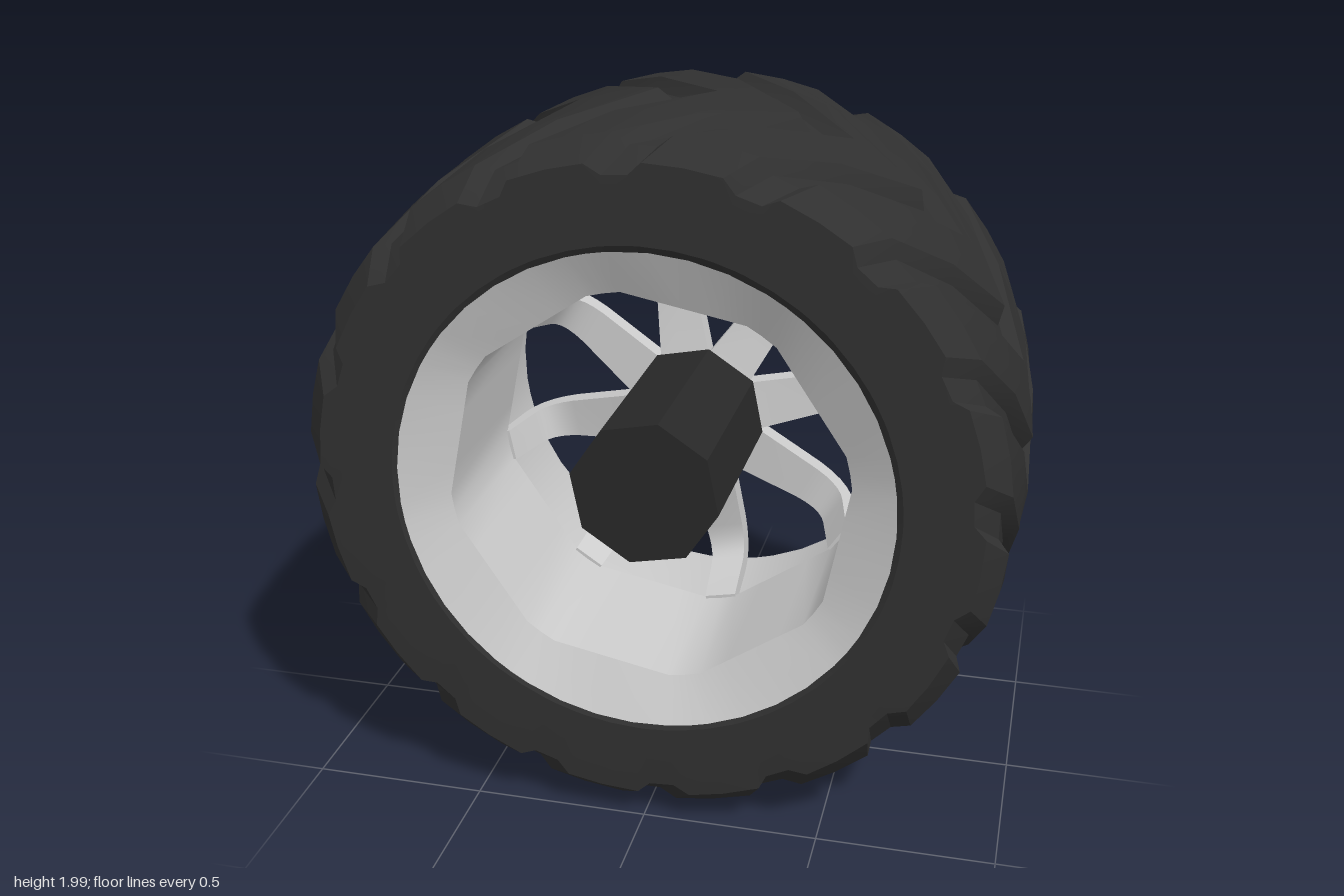
import * as THREE from 'three';
import { toCreasedNormals } from 'three/addons/utils/BufferGeometryUtils.js';

const RAD = Math.PI / 180;
const SPOKES = 8, SPOKE_ANGLE = 11.25;

// Closed skin around the z axis: point(i, j) gives [radius, degrees, z]
function loft(rows, cols, point, crease) {
  const pos = [], idx = [];
  for (let i = 0; i < rows; i++) {
    for (let j = 0; j < cols; j++) {
      const [r, deg, z] = point(i, j);
      pos.push(r * Math.cos(deg * RAD), r * Math.sin(deg * RAD), z);
      if (i === rows - 1) continue;
      const k = (j + 1) % cols, a = i * cols;
      idx.push(a + j, a + k, a + cols + j, a + k, a + cols + k, a + cols + j);
    }
  }
  const g = new THREE.BufferGeometry();
  g.setAttribute('position', new THREE.Float32BufferAttribute(pos, 3));
  g.setIndex(idx);
  return toCreasedNormals(g, crease * RAD);
}

// Cylinder lying along z, between z0 and z1
function zCylinder(r0, r1, z0, z1, sides) {
  return new THREE.CylinderGeometry(r1, r0, z1 - z0, sides)
    .rotateX(Math.PI / 2).rotateZ(-SPOKE_ANGLE * RAD).translate(0, 0, (z0 + z1) / 2);
}

// Tyre: rows of [groove radius, lug radius, z], lugs swept back into chevrons
function tyreGeometry() {
  const half = [
    [0.675, 0.675, 0.5], [0.7, 0.7, 0.515], [0.84, 0.84, 0.515], [0.88, 0.912, 0.513],
    [0.94, 0.972, 0.44], [0.955, 0.99, 0.24], [0.962, 1.0, 0],
  ];
  const rows = [
    ...half.map(([a, b, z]) => [a, b, -z]),
    ...half.slice(0, -1).reverse(),
  ];
  const lugs = 16, pitch = 360 / lugs;
  const steps = [[0, 0], [0.2, 0], [0.32, 1], [0.6, 1], [0.9, 1]]; // [fraction of pitch, raised]
  return loft(rows.length, lugs * steps.length, (i, j) => {
    const [low, high, z] = rows[i];
    const [f, up] = steps[j % steps.length];
    const lug = Math.floor(j / steps.length);
    const sweep = 27 * Math.abs(z) / 0.515;
    return [up ? high : low, (lug + f) * pitch + sweep - 3, z];
  }, 22);
}

// Rim: round lips at both ends, faceted barrel with short sides at the spokes
function rimGeometry() {
  const rows = [ // radius, z, faceted
    [0.685, 0.514, false], [0.56, 0.45, true], [0.56, -0.03, true], [0.61, -0.03, false],
    [0.645, -0.46, false], [0.655, -0.5, false], [0.685, -0.514, false],
  ];
  const offsets = [-4.8, 0, 4.8, 13.65, 22.5, 31.35];
  return loft(rows.length, SPOKES * offsets.length, (i, j) => {
    const [r, z, faceted] = rows[i];
    const off = offsets[j % offsets.length];
    const flat = off > 4.8 ? Math.cos(17.7 * RAD) / Math.cos((off - 22.5) * RAD) : 1;
    return [faceted ? r * flat : r, SPOKE_ANGLE + 45 * Math.floor(j / offsets.length) + off, z];
  }, 25);
}

// Spoke: elbowed side outline in (radius, z), tapering towards the rim
function spokeGeometry() {
  const s = new THREE.Shape();
  s.moveTo(0.13, -0.2);
  s.lineTo(0.4, -0.265);
  s.quadraticCurveTo(0.52, -0.285, 0.55, -0.18);
  s.lineTo(0.585, -0.02);
  s.lineTo(0.55, -0.02);
  s.lineTo(0.51, -0.15);
  s.quadraticCurveTo(0.49, -0.22, 0.4, -0.205);
  s.lineTo(0.13, -0.14);
  const g = new THREE.ExtrudeGeometry(s, { depth: 1, bevelEnabled: false, curveSegments: 5 });
  g.translate(0, 0, -0.5).rotateX(Math.PI / 2);
  const p = g.attributes.position;
  for (let i = 0; i < p.count; i++) {
    p.setY(i, p.getY(i) * THREE.MathUtils.mapLinear(p.getX(i), 0.13, 0.56, 0.155, 0.092));
  }
  return toCreasedNormals(g, 35 * RAD);
}

export function createModel() {
  const rubber = new THREE.MeshStandardMaterial({ color: 0x303030 });
  const axleDark = new THREE.MeshStandardMaterial({ color: 0x282828, flatShading: true });
  const metal = new THREE.MeshStandardMaterial({ color: 0xcccccc, side: THREE.DoubleSide });
  const metalFlat = new THREE.MeshStandardMaterial({ color: 0xcccccc, flatShading: true });

  const model = new THREE.Group();
  model.name = 'wheel';
  const add = (name, geometry, material) => {
    const mesh = new THREE.Mesh(geometry, material);
    mesh.name = name;
    mesh.position.y = 1;
    model.add(mesh);
    return mesh;
  };

  add('tyre', tyreGeometry(), rubber);
  add('rim', rimGeometry(), metal);
  add('axle', zCylinder(0.21, 0.21, -0.14, 0.47, 8), axleDark);

  // Hub plate with a shallow rim and a centre cap
  add('hubPlate', zCylinder(0.175, 0.195, -0.215, -0.13, 8), metalFlat);
  add('hubFace', zCylinder(0.155, 0.16, -0.225, -0.21, 8), metalFlat);
  add('hubCap', zCylinder(0.04, 0.05, -0.25, -0.22, 12), metalFlat);

  // Spokes, each with a bolt at its root
  const spoke = spokeGeometry();
  const bolt = zCylinder(0.02, 0.022, -0.25, -0.22, 6).translate(0.12, 0, 0);
  for (let i = 0; i < SPOKES; i++) {
    const angle = (SPOKE_ANGLE + 45 * i) * RAD;
    add('spoke', spoke, metal).rotation.z = angle;
    add('hubBolt', bolt, metalFlat).rotation.z = angle;
  }
  return model;
}
